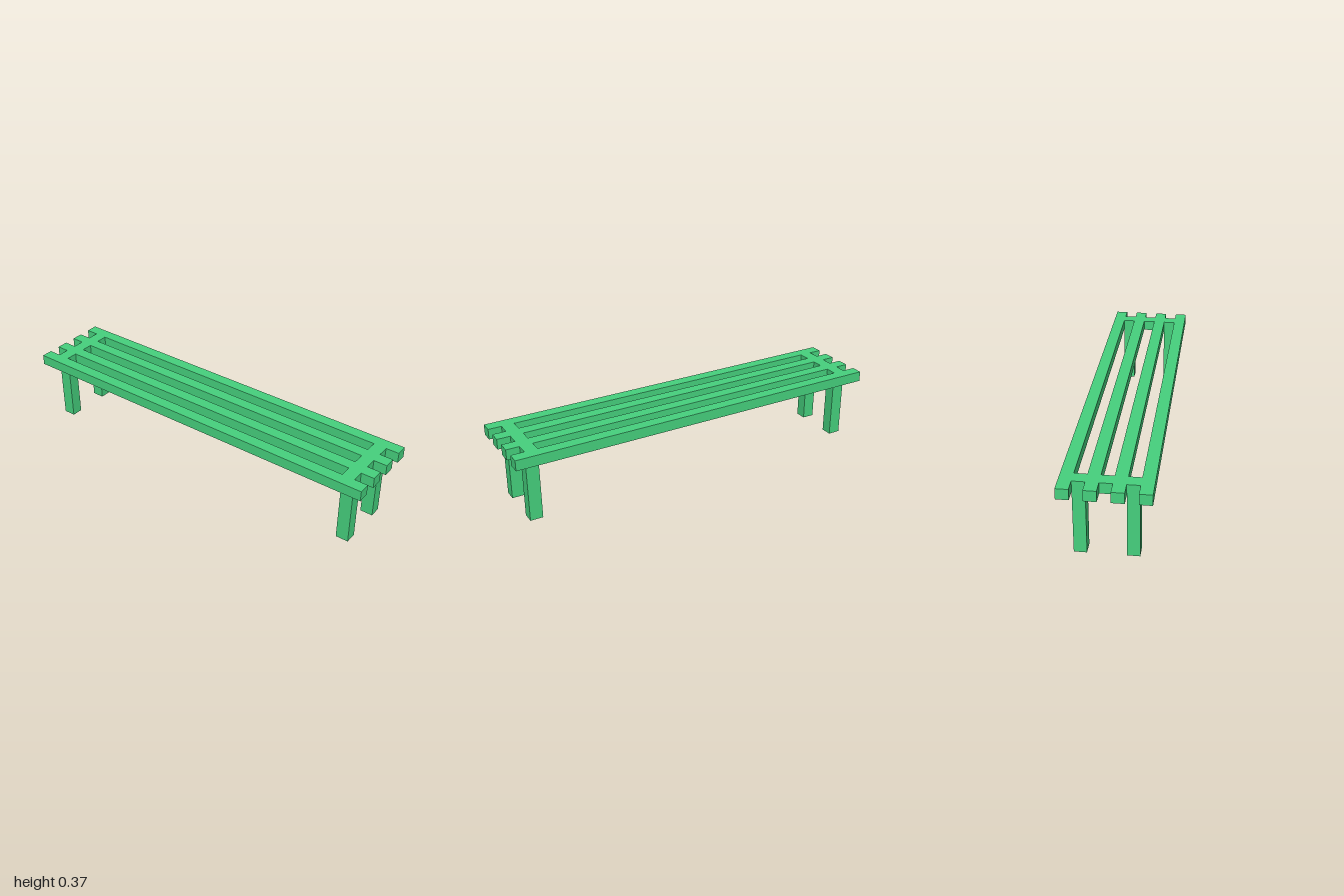
import * as THREE from 'three';

export function createModel() {
  const bench = new THREE.Group();
  bench.name = 'bench';
  const green = new THREE.MeshStandardMaterial({ color: 0x46d17e });
  green.name = 'green';

  const top = 0.374, slatBottom = 0.32, slatHeight = top - slatBottom;
  const width = 0.06, legX = 0.9;

  // Box placed by its centre in x and z and its bottom in y
  function addBox(name, sx, sy, sz, x, bottom, z) {
    const mesh = new THREE.Mesh(new THREE.BoxGeometry(sx, sy, sz), green);
    mesh.name = name;
    mesh.position.set(x, bottom + sy / 2, z);
    bench.add(mesh);
  }

  // Four long seat slats
  for (const z of [-0.18, -0.06, 0.06, 0.18]) {
    addBox('seatSlat', 2, slatHeight, width, 0, slatBottom, z);
  }

  for (const x of [-legX, legX]) {
    // Legs rise between the slats, flush with the seat
    for (const z of [-0.12, 0.12]) addBox('leg', 0.065, top, width, x, 0, z);
    // Spacer block between the two middle slats
    addBox('spacer', 0.065, slatHeight, width, x, slatBottom, 0);
  }
  return bench;
}
